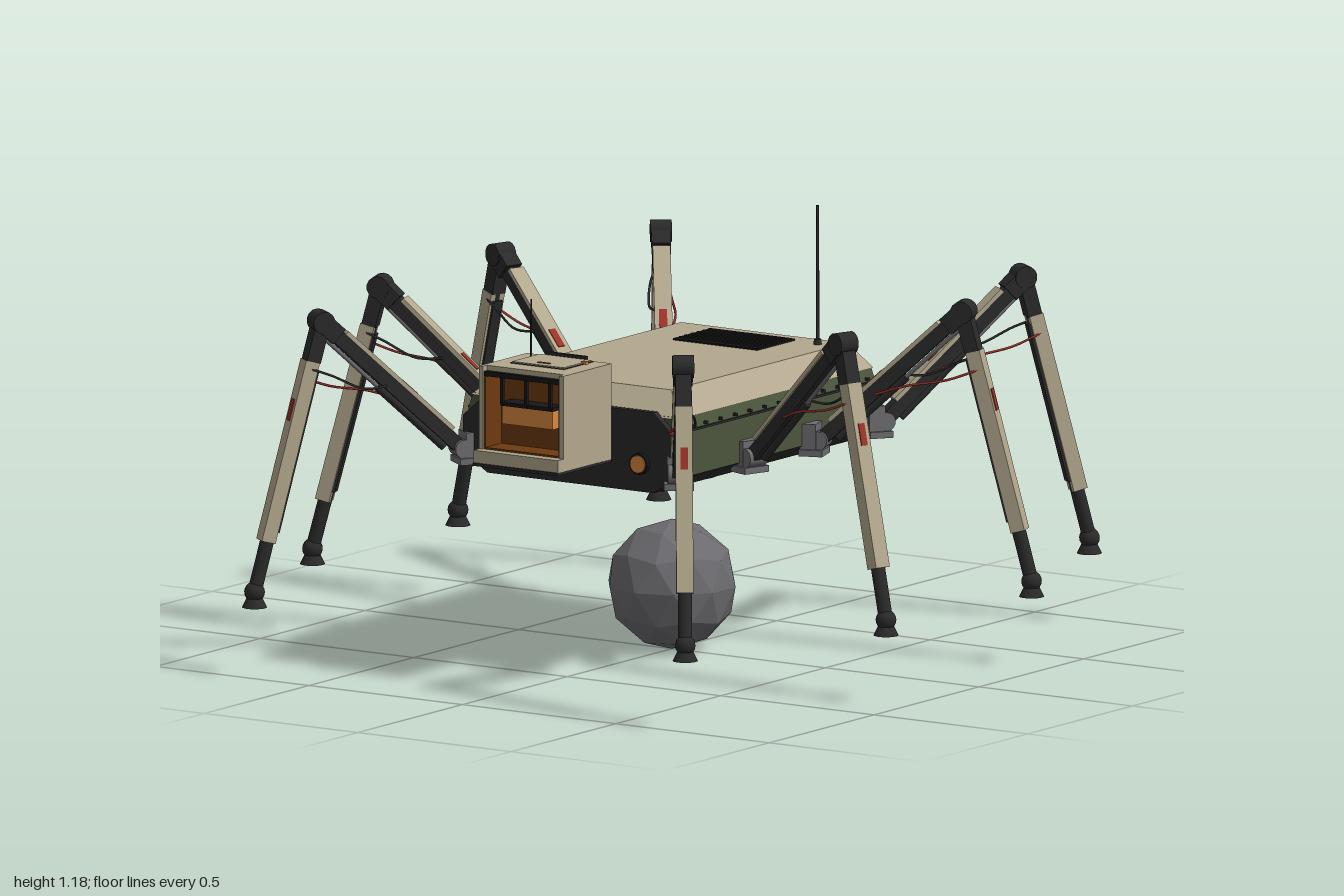
import * as THREE from 'three';

const mat = (name, color, extra = {}) =>
  Object.assign(new THREE.MeshStandardMaterial({ color, ...extra }), { name });

export function createModel() {
  const tan = mat('sand paint', 0xb3a88e);
  const green = mat('olive hull', 0x4b543c);
  const dark = mat('dark metal', 0x2a2a2b);
  const black = mat('black panel', 0x161617);
  const gray = mat('grey metal', 0x6c6c70);
  const orange = mat('amber lamp', 0xd98840);
  const brown = mat('rust interior', 0x6e3a10);
  const red = mat('red cable', 0x9c322a);
  const rock = mat('grey ball', 0x6c6c70, { flatShading: true });

  const model = new THREE.Group();
  model.name = 'walker';

  const add = (parent, name, geometry, material, x = 0, y = 0, z = 0) => {
    const m = new THREE.Mesh(geometry, material);
    m.name = name;
    m.position.set(x, y, z);
    parent.add(m);
    return m;
  };
  // box given by its limits on each axis
  const box = (parent, name, material, x0, x1, y0, y1, z0, z1) =>
    add(parent, name, new THREE.BoxGeometry(x1 - x0, y1 - y0, z1 - z0), material,
      (x0 + x1) / 2, (y0 + y1) / 2, (z0 + z1) / 2);
  const cyl = (r0, r1, h, n = 16) => new THREE.CylinderGeometry(r0, r1, h, n);
  // mirrored half profile swept along z
  const sweep = (half, z0, z1) => {
    const left = half.map(([x, y]) => new THREE.Vector2(x, y));
    const right = half.map(([x, y]) => new THREE.Vector2(-x, y)).reverse();
    const g = new THREE.ExtrudeGeometry(new THREE.Shape([...left, ...right]),
      { depth: z1 - z0, bevelEnabled: false });
    return g.translate(0, 0, z0);
  };

  // ---- body ----
  const body = new THREE.Group();
  body.name = 'body';
  model.add(body);
  add(body, 'hull', sweep([[0.345, 0.575], [0.345, 0.7], [0.33, 0.74]], -0.465, 0.465), green);
  add(body, 'belly', sweep([[0.27, 0.53], [0.345, 0.575]], -0.465, 0.465), dark);
  const plate = [[0.27, 0.53], [0.35, 0.58], [0.35, 0.68], [0.27, 0.75]];
  add(body, 'frontPlate', sweep(plate, 0.465, 0.485), dark);
  add(body, 'backPlate', sweep(plate, -0.485, -0.465), dark);

  // roof: box with its top edges drawn in
  const roof = new THREE.BoxGeometry(0.67, 0.065, 0.94);
  const p = roof.attributes.position;
  for (let i = 0; i < p.count; i++) {
    if (p.getY(i) < 0) continue;
    p.setX(i, Math.sign(p.getX(i)) * 0.272);
    p.setZ(i, p.getZ(i) > 0 ? 0.4 : -0.44);
  }
  roof.computeVertexNormals();
  add(body, 'roof', roof, tan, 0, 0.7675, 0);
  box(body, 'roofPanel', black, -0.14, 0.135, 0.799, 0.805, -0.39, -0.21);
  for (let i = 0; i < 6; i++)
    box(body, 'panelSlat', dark, -0.135, 0.13, 0.804, 0.808, -0.378 + i * 0.028, -0.37 + i * 0.028);
  add(body, 'antenna', cyl(0.004, 0.005, 0.38, 8), dark, 0.215, 0.99, -0.38);
  add(body, 'antennaBase', cyl(0.01, 0.012, 0.015, 10), dark, 0.215, 0.807, -0.38);

  for (const s of [-1, 1]) {
    box(body, 'sideRail', dark, s * 0.347 - 0.003, s * 0.347 + 0.003, 0.697, 0.703, -0.46, 0.46);
    for (let i = 0; i < 13; i++)
      box(body, 'rivet', dark, s * 0.35 - 0.005, s * 0.35 + 0.005, 0.708, 0.716,
        -0.424 + i * 0.07, -0.416 + i * 0.07);
    // headlamps
    const ring = add(body, 'lampRing', cyl(0.029, 0.029, 0.016, 20), black, s * 0.23, 0.607, 0.491);
    const lens = add(body, 'lampLens', cyl(0.024, 0.024, 0.006, 20), orange, s * 0.23, 0.607, 0.5);
    ring.rotation.x = lens.rotation.x = Math.PI / 2;
  }
  add(body, 'bellyTurret', cyl(0.13, 0.13, 0.05, 28), gray, 0, 0.508, 0);

  // ---- hanging ball, one vertex pointing up ----
  const ball = new THREE.IcosahedronGeometry(0.178, 1);
  ball.rotateX(-Math.atan2((1 + Math.sqrt(5)) / 2, 1)).rotateY(Math.PI / 2);
  add(model, 'ball', ball, rock, 0, 0.18, 0);

  // ---- sensor head ----
  const head = new THREE.Group();
  head.name = 'sensorHead';
  model.add(head);
  box(head, 'headBack', dark, -0.13, 0.13, 0.62, 0.865, 0.483, 0.495);
  box(head, 'headRoof', tan, -0.138, 0.138, 0.855, 0.872, 0.49, 0.7);
  box(head, 'headBrow', black, -0.125, 0.125, 0.845, 0.858, 0.695, 0.715);
  box(head, 'headFloor', tan, -0.138, 0.138, 0.61, 0.645, 0.49, 0.745);
  box(head, 'headBase', dark, -0.138, 0.138, 0.603, 0.611, 0.49, 0.75);
  for (const s of [-1, 1]) {
    box(head, 'headWall', tan, s * 0.131 - 0.007, s * 0.131 + 0.007, 0.64, 0.872, 0.49, 0.72);
    box(head, 'wallLining', brown, s * 0.122 - 0.003, s * 0.122 + 0.003, 0.645, 0.856, 0.6, 0.715);
  }
  box(head, 'recess', brown, -0.122, 0.122, 0.645, 0.856, 0.6, 0.64);
  box(head, 'recessFloor', brown, -0.122, 0.122, 0.644, 0.65, 0.63, 0.715);
  box(head, 'lampBlock', orange, -0.082, 0.082, 0.715, 0.765, 0.64, 0.69);
  box(head, 'lampShade', black, -0.085, 0.085, 0.765, 0.775, 0.64, 0.695);
  for (const x of [-0.078, 0, 0.078])
    box(head, 'lampBar', black, x - 0.004, x + 0.004, 0.77, 0.85, 0.69, 0.7);
  // hatch outline on the head roof
  box(head, 'hatchSeam', dark, -0.09, 0.085, 0.871, 0.874, 0.5, 0.64);
  box(head, 'hatch', tan, -0.087, 0.082, 0.872, 0.877, 0.503, 0.637);
  box(head, 'hatchMark', red, -0.02, 0.02, 0.876, 0.879, 0.606, 0.614);
  box(head, 'hatchLatch', orange, 0.076, 0.092, 0.872, 0.88, 0.533, 0.545);
  box(head, 'rearHinge', dark, -0.07, 0.06, 0.872, 0.884, 0.488, 0.498);
  add(head, 'headAntenna', cyl(0.002, 0.003, 0.16, 6), dark, -0.095, 0.95, 0.533);

  // ---- legs: local +x points outwards ----
  const knee = [0.4, 0.96], ankle = [0.59, 0.232], hip = [0, 0.59];
  const segment = (leg, name, a, b) => {
    const g = new THREE.Group();
    g.name = name;
    g.position.set(a[0], a[1], 0);
    g.rotation.z = Math.atan2(b[1] - a[1], b[0] - a[0]);
    g.userData.length = Math.hypot(b[0] - a[0], b[1] - a[1]);
    leg.add(g);
    return g;
  };
  const rod = (parent, name, r, x0, x1, y, material, z = 0) => {
    add(parent, name, cyl(r, r, x1 - x0, 10), material, (x0 + x1) / 2, y, z).rotation.z = Math.PI / 2;
  };
  const cable = (leg, name, pts, material) => {
    const curve = new THREE.CatmullRomCurve3(pts.map(q => new THREE.Vector3(...q)));
    add(leg, name, new THREE.TubeGeometry(curve, 14, 0.0035, 5), material);
  };
  const pivot = (leg, name, r, w, at, material) => {
    add(leg, name, cyl(r, r, w, 14), material, at[0], at[1], 0).rotation.x = Math.PI / 2;
  };

  const makeLeg = (x, z, dx, dz, name) => {
    const leg = new THREE.Group();
    leg.name = name;
    leg.position.set(x, 0, z);
    leg.rotation.y = Math.atan2(-dz, dx);
    model.add(leg);

    // hip bracket and joint
    box(leg, 'hipBracket', gray, -0.05, -0.005, 0.55, 0.635, -0.032, 0.032);
    box(leg, 'hipFoot', gray, -0.05, 0.015, 0.548, 0.566, -0.04, 0.04);
    pivot(leg, 'hipJoint', 0.026, 0.06, hip, gray);

    // thigh with top cover and piston
    const thigh = segment(leg, 'thigh', hip, knee);
    const L = thigh.userData.length;
    box(thigh, 'thighBeam', dark, 0, L, -0.02, 0.018, -0.018, 0.018);
    box(thigh, 'thighCover', tan, 0.06, L - 0.07, 0.016, 0.028, -0.024, 0.024);
    box(thigh, 'thighMark', red, 0.2, 0.26, 0.026, 0.03, -0.012, 0.01);
    rod(thigh, 'thighPiston', 0.011, 0.04, 0.3, -0.03, dark);
    rod(thigh, 'pistonRod', 0.006, 0.3, L - 0.03, -0.028, gray);
    box(thigh, 'kneeFork', dark, L - 0.06, L, -0.026, 0.026, -0.026, 0.026);

    pivot(leg, 'kneeJoint', 0.031, 0.058, knee, dark);

    // shin with armoured sleeve
    const shin = segment(leg, 'shin', knee, ankle);
    const S = shin.userData.length;
    rod(shin, 'shinRod', 0.019, 0, S, 0, dark);
    box(shin, 'shinCollar', dark, 0.01, 0.11, -0.02, 0.02, -0.022, 0.022);
    box(shin, 'shinSleeve', tan, 0.11, S - 0.14, -0.017, 0.023, -0.023, 0.023);
    box(shin, 'shinBacking', dark, 0.13, S - 0.17, -0.024, -0.016, -0.015, 0.015);
    box(shin, 'shinMark', red, 0.22, 0.28, 0.021, 0.026, -0.01, 0.01);

    // ankle and foot
    add(leg, 'ankleBall', new THREE.SphereGeometry(0.028, 14, 10), dark, ankle[0], ankle[1], 0);
    add(leg, 'foot', cyl(0.02, 0.034, 0.028, 16), dark, ankle[0], 0.204, 0);

    // hoses between thigh and shin
    cable(leg, 'redHose', [[0.16, 0.725, 0.02], [0.25, 0.755, 0.035], [0.36, 0.775, 0.03], [0.445, 0.805, 0.02]], red);
    cable(leg, 'darkHose', [[0.22, 0.775, -0.02], [0.29, 0.775, -0.035], [0.38, 0.815, -0.03], [0.435, 0.835, -0.02]], dark);
  };

  const mid = THREE.MathUtils.degToRad(18.5), corner = THREE.MathUtils.degToRad(54);
  for (const sx of [-1, 1]) for (const sz of [-1, 1]) {
    const side = `${sz > 0 ? 'front' : 'back'}${sx > 0 ? 'Left' : 'Right'}`;
    makeLeg(sx * 0.375, sz * 0.16, sx * Math.cos(mid), sz * Math.sin(mid), `${side}MiddleLeg`);
    makeLeg(sx * 0.355, sz * 0.487, sx * Math.cos(corner), sz * Math.sin(corner), `${side}CornerLeg`);
  }
  return model;
}
